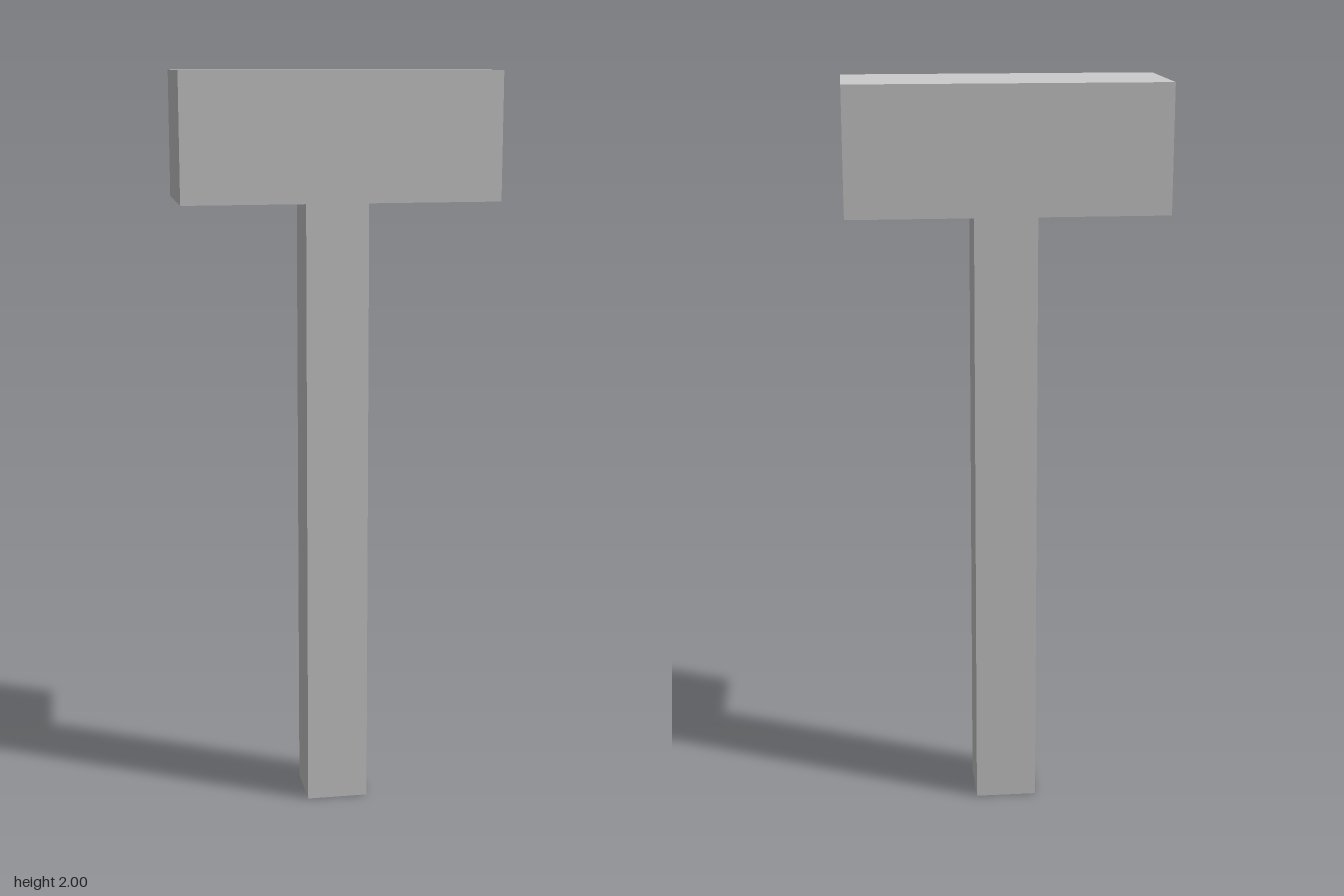
import * as THREE from 'three';

const U = 1 / 6; // handle thickness, the unit for all proportions

function block(name, width, height, depth, bottom, material) {
  const mesh = new THREE.Mesh(new THREE.BoxGeometry(width, height, depth), material);
  mesh.name = name;
  mesh.position.y = bottom + height / 2;
  return mesh;
}

export function createModel() {
  const group = new THREE.Group();
  group.name = 'hammer';
  const grey = new THREE.MeshStandardMaterial({ color: 0xcccccc, flatShading: true });

  // Square handle standing on the ground, with the head resting on top
  group.add(block('handle', U, 10 * U, U, 0, grey));
  group.add(block('head', 5 * U, 2 * U, 2 * U, 10 * U, grey));

  return group;
}
